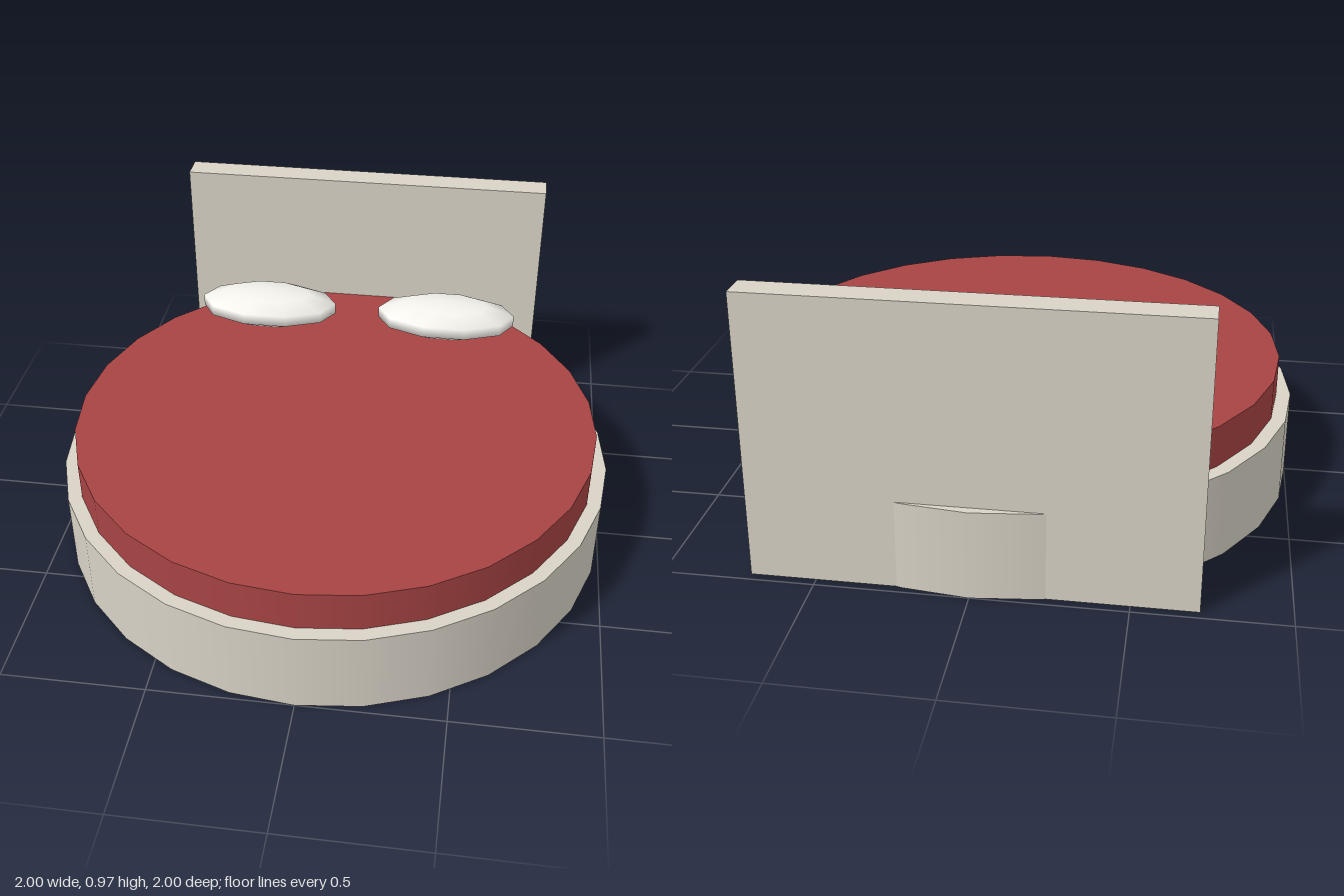
import * as THREE from 'three';

const SIDES = 28;

export function createModel() {
  const bed = new THREE.Group();
  bed.name = 'roundBed';

  const frameMaterial = new THREE.MeshStandardMaterial({ color: 0xd8d2c6 });
  const mattressMaterial = new THREE.MeshStandardMaterial({ color: 0xa84444 });
  const pillowMaterial = new THREE.MeshStandardMaterial({ color: 0xf2f0ea });

  const add = (name, geometry, material, x, y, z) => {
    const mesh = new THREE.Mesh(geometry, material);
    mesh.name = name;
    mesh.position.set(x, y, z);
    bed.add(mesh);
    return mesh;
  };

  // Round base and the slightly smaller mattress on top of it
  add('base', new THREE.CylinderGeometry(1, 1, 0.305, SIDES), frameMaterial, 0, 0.1525, 0);
  add('mattress', new THREE.CylinderGeometry(0.95, 0.95, 0.145, SIDES), mattressMaterial, 0, 0.3775, 0);

  // Flat headboard standing on the floor, cutting through the back of the base
  add('headboard', new THREE.BoxGeometry(1.43, 0.97, 0.1), frameMaterial, 0, 0.485, -0.92);

  // Pair of flattened, coarse spheres as pillows
  const pillow = new THREE.SphereGeometry(1, 10, 5).scale(0.284, 0.072, 0.142);
  for (const [name, side] of [['leftPillow', 1], ['rightPillow', -1]]) {
    add(name, pillow, pillowMaterial, side * 0.358, 0.519, -0.635);
  }

  return bed;
}
